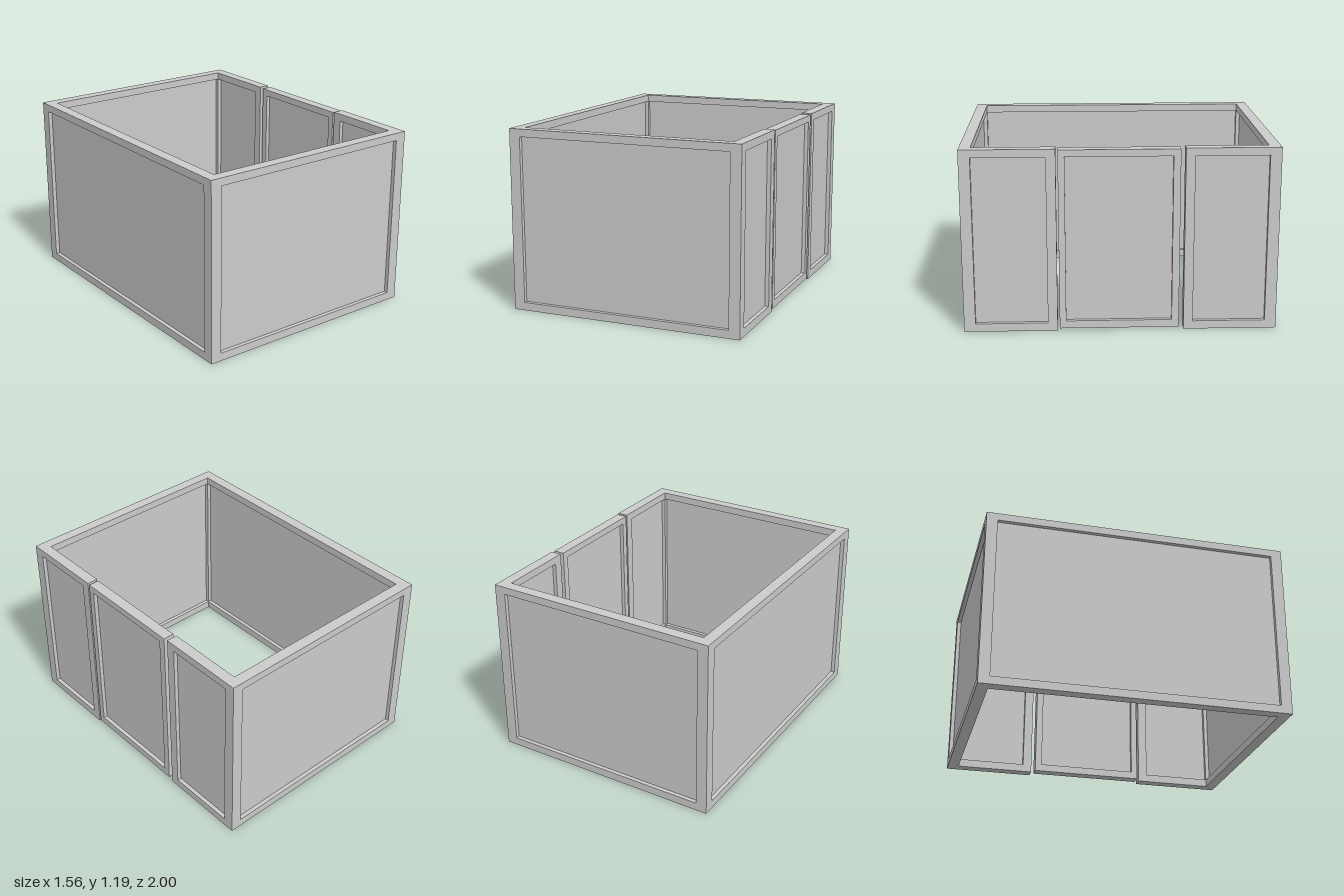
import * as THREE from 'three';

const HX = 0.78, HZ = 1, H = 1.19, T = 0.073;      // outer half sizes, height, wall thickness
const SILL = 0.053, HEAD = 1.14, PANEL = 0.02;     // opening bottom and top, panel thickness

export function createModel() {
  const model = new THREE.Group();
  const material = new THREE.MeshStandardMaterial({ color: 0xcccccc });

  // box given by its min and max on each axis
  const box = (parent, name, [x0, x1], [y0, y1], [z0, z1]) => {
    const mesh = new THREE.Mesh(new THREE.BoxGeometry(x1 - x0, y1 - y0, z1 - z0), material);
    mesh.position.set((x0 + x1) / 2, (y0 + y1) / 2, (z0 + z1) / 2);
    mesh.name = name;
    parent.add(mesh);
  };

  // rails and recessed panel filling the span a..b; 'across' is the wall's mid plane
  const infill = (name, alongX, across, a, b, bottom = 0, top = H, sill = SILL, head = HEAD) => {
    const group = new THREE.Group();
    group.name = name;
    const part = (label, thick, y) => {
      const depth = [across - thick / 2, across + thick / 2];
      if (alongX) box(group, label, [a, b], y, depth);
      else box(group, label, depth, y, [a, b]);
    };
    part('bottomRail', T, [bottom, sill]);
    part('topRail', T, [head, top]);
    part('panel', PANEL, [sill, head]);
    model.add(group);
    return group;
  };

  // corner posts
  for (const sx of [-1, 1]) for (const sz of [-1, 1]) {
    const span = (s, h) => (s > 0 ? [h - T, h] : [-h, T - h]);
    box(model, 'cornerPost', span(sx, HX), [0, H], span(sz, HZ));
  }

  // front, back and long closed wall
  const mx = HX - T / 2, mz = HZ - T / 2;
  infill('frontWall', true, mz, T - HX, HX - T);
  infill('backWall', true, -mz, T - HX, HX - T);
  infill('closedSideWall', false, -mx, T - HZ, HZ - T);

  // short fixed walls on both sides of the door
  const side = [HX - T, HX];
  const frontFixed = infill('frontFixedWall', false, mx, 0.465, HZ - T);
  box(frontFixed, 'doorJamb', side, [0, H], [0.403, 0.465]);
  const backFixed = infill('backFixedWall', false, mx, T - HZ, -0.463);
  box(backFixed, 'doorJamb', side, [0, H], [-0.463, -0.403]);

  // door leaf, slightly shorter than the walls, with a gap on each side
  const y0 = 0.015, y1 = 1.185;
  const door = infill('door', false, mx, -0.327, 0.348, y0, y1, 0.065, HEAD);
  box(door, 'doorStile', side, [y0, y1], [-0.373, -0.327]);
  box(door, 'doorStile', side, [y0, y1], [0.348, 0.39]);

  return model;
}
